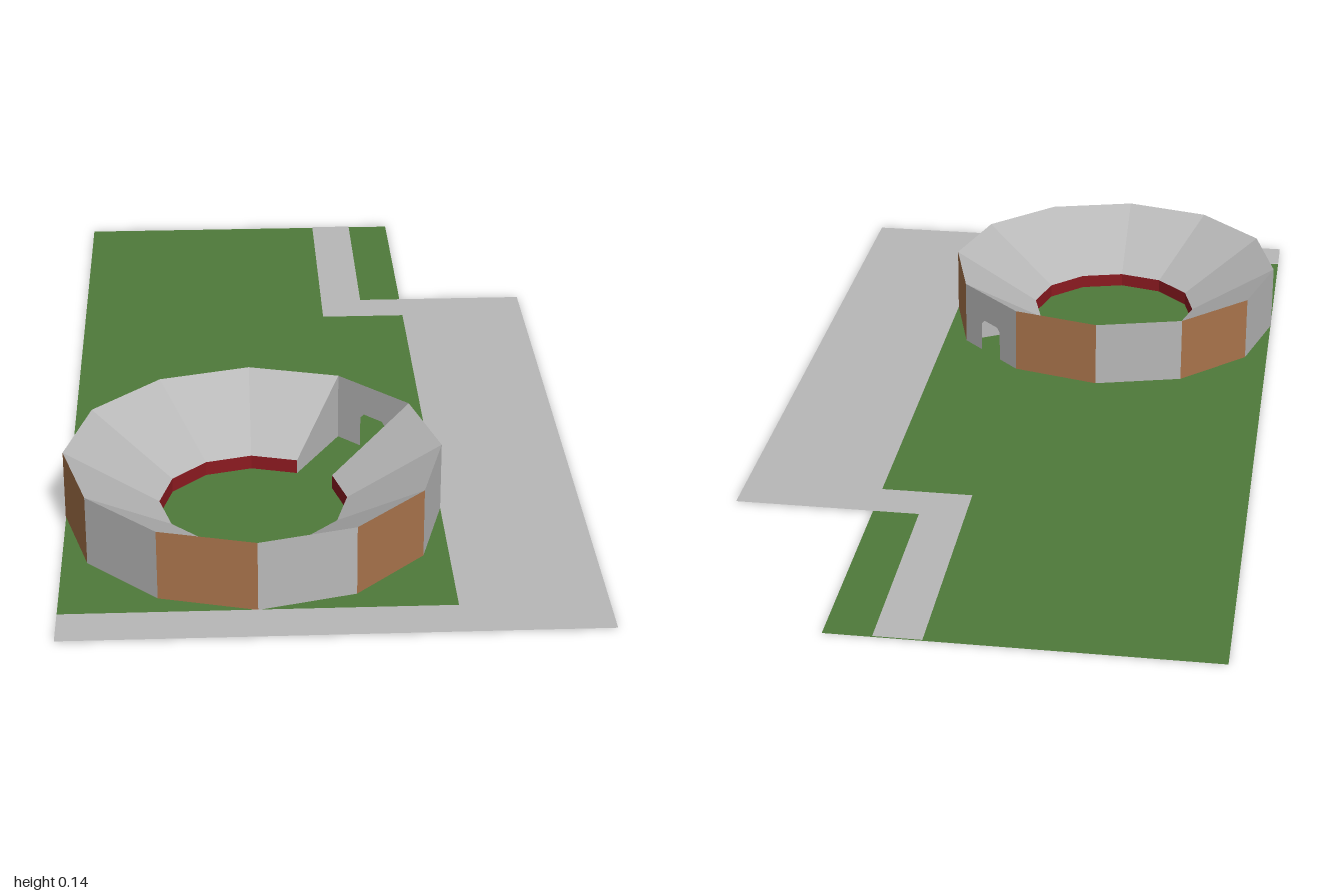
import * as THREE from 'three';

const material = (name, color) =>
  new THREE.MeshStandardMaterial({ name, color, side: THREE.DoubleSide });

export function createModel() {
  const grass = material('grass green', 0x4f7a3a);
  const stone = material('stone grey', 0xb8b8b8);
  const brick = material('brick brown', 0xa9744b);
  const red = material('barrier red', 0x8c1a20);

  const model = new THREE.Group();
  model.name = 'arenaPlot';
  const add = (parent, name, geometry, mat) => {
    const mesh = new THREE.Mesh(geometry, mat);
    mesh.name = name;
    parent.add(mesh);
    return mesh;
  };

  // Flat ground pieces
  const ground = (name, mat, x0, x1, z0, z1, y) => {
    const g = new THREE.PlaneGeometry(x1 - x0, z1 - z0).rotateX(-Math.PI / 2);
    g.translate((x0 + x1) / 2, y, (z0 + z1) / 2);
    add(model, name, g, mat);
  };
  const paving = 0.002;
  ground('lawn', grass, -0.523, 0.236, -1, 0.905, 0);
  ground('frontPavement', stone, -0.523, 0.236, 0.905, 1, paving);
  ground('sidePavement', stone, 0.236, 0.33, -0.525, 1, paving);
  ground('road', stone, 0.33, 0.523, -0.525, 1, paving);
  ground('backPath', stone, 0.045, 0.14, -1, -0.525, paving);
  ground('crossPath', stone, 0.045, 0.236, -0.525, -0.43, paving);

  // Twelve-sided arena, angles run from +x towards +z
  const arena = new THREE.Group();
  arena.name = 'arena';
  arena.position.set(-0.144, 0, 0.523);
  model.add(arena);

  const sides = 12, gate = 10, outer = 0.38, inner = 0.19, height = 0.145, barrier = 0.03;
  const step = (Math.PI * 2) / sides;
  const at = (i, r, y) => [r * Math.cos(i * step), y, r * Math.sin(i * step)];
  // Quad with corners counter-clockwise as seen from its front
  const quad = (a, b, c, d) => {
    const g = new THREE.BufferGeometry();
    g.setAttribute('position', new THREE.Float32BufferAttribute([a, b, c, a, c, d].flat(), 3));
    g.computeVertexNormals();
    return g;
  };

  for (let i = 0; i < sides; i++) {
    if (i === gate) continue;
    const j = i + 1;
    add(arena, 'outerWall', quad(at(j, outer, 0), at(i, outer, 0), at(i, outer, height), at(j, outer, height)),
      i % 2 ? brick : stone);
    add(arena, 'seating', quad(at(i, inner, barrier), at(j, inner, barrier), at(j, outer, height), at(i, outer, height)), stone);
    add(arena, 'ringBarrier', quad(at(i, inner, 0), at(j, inner, 0), at(j, inner, barrier), at(i, inner, barrier)), red);
  }

  // Walls closing the seating on both sides of the entrance
  add(arena, 'entranceSideWall', quad(at(gate, outer, 0), at(gate, inner, 0),
    at(gate, inner, barrier), at(gate, outer, height)), stone);
  add(arena, 'entranceSideWall', quad(at(gate + 1, inner, 0), at(gate + 1, outer, 0),
    at(gate + 1, outer, height), at(gate + 1, inner, barrier)), stone);

  // Gate wall with a doorway cut through it
  const half = outer * Math.sin(step / 2), door = 0.035, bevel = 0.01, top = 0.077;
  const gateShape = new THREE.Shape([
    [-half, 0], [-door, 0], [-door, top - bevel], [-door + bevel, top],
    [door - bevel, top], [door, top - bevel], [door, 0], [half, 0],
    [half, height], [-half, height],
  ].map(([x, y]) => new THREE.Vector2(x, y)));
  const middle = (gate + 0.5) * step, apothem = outer * Math.cos(step / 2);
  const gateWall = add(arena, 'gateWall', new THREE.ShapeGeometry(gateShape), stone);
  gateWall.position.set(apothem * Math.cos(middle), 0, apothem * Math.sin(middle));
  gateWall.rotation.y = Math.PI / 2 - middle;

  return model;
}
